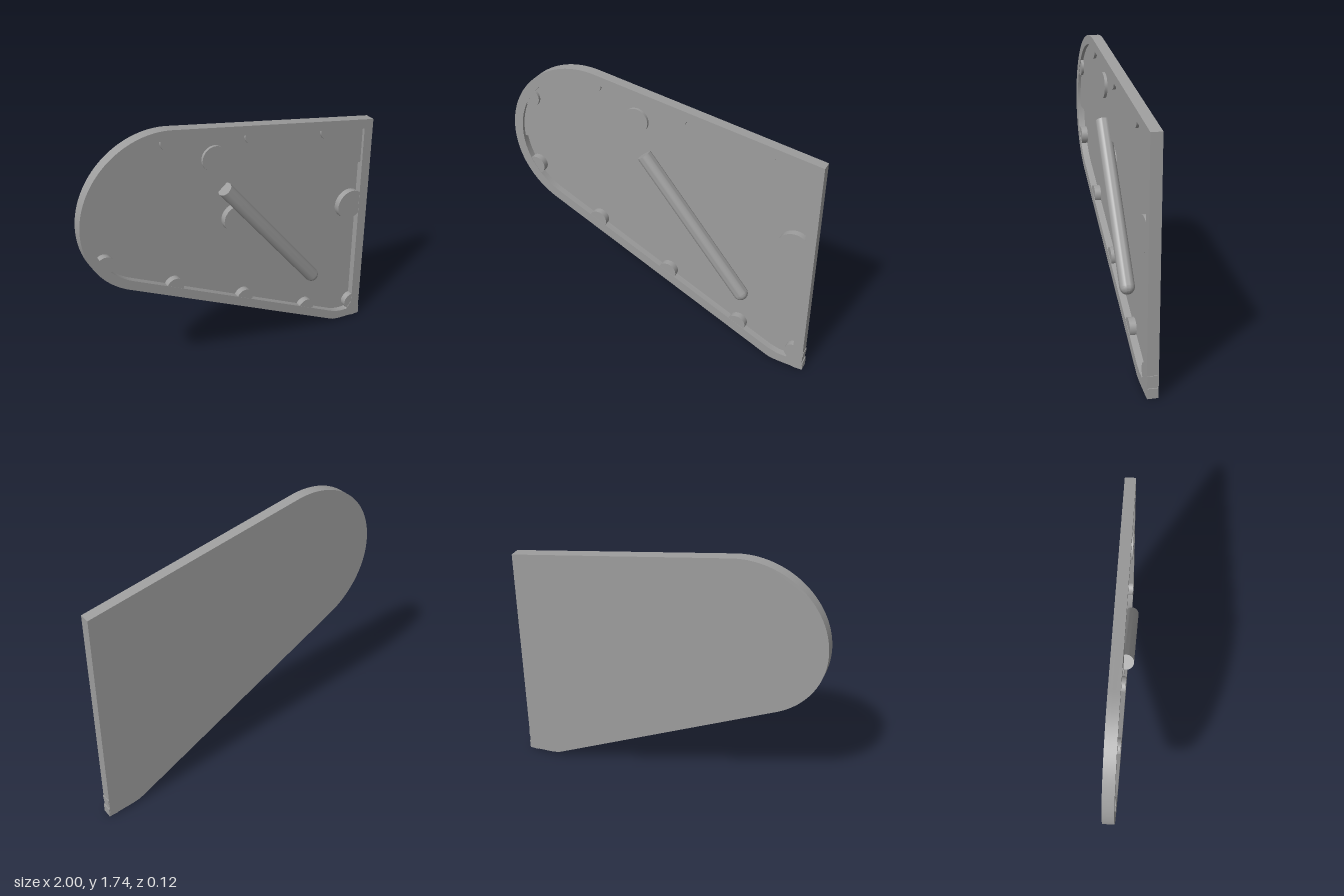
import * as THREE from 'three';
import { toCreasedNormals } from 'three/addons/utils/BufferGeometryUtils.js';

const BACK = -0.06, FLOOR = -0.035, STEP = -0.012, FRONT = 0.007;
const material = new THREE.MeshStandardMaterial({ color: 0x9d9d9d });
const rad = THREE.MathUtils.degToRad;

// Teardrop outline: a round nose on the left, straight edges and corner points on the right
function outline(radius, endAngle, corners, Type = THREE.Shape) {
  const shape = new Type();
  shape.absarc(-0.5, 1.245, radius, rad(80), rad(endAngle), false);
  corners.forEach(([x, y]) => shape.lineTo(x, y));
  shape.closePath();
  return shape;
}

function extrude(shape, z0, z1) {
  const geometry = new THREE.ExtrudeGeometry(shape, { depth: z1 - z0, bevelEnabled: false, curveSegments: 40 });
  geometry.translate(0, 0, z0);
  return toCreasedNormals(geometry, 0.5);
}

export function createModel() {
  const model = new THREE.Group();
  const add = (name, geometry, x = 0, y = 0, z = 0) => {
    const mesh = new THREE.Mesh(geometry, material);
    mesh.name = name;
    mesh.position.set(x, y, z);
    model.add(mesh);
    return mesh;
  };

  // Thin back panel and raised rim
  const outer = [[0.75, 0.038], [0.78, 0.024], [0.83, 0.015], [0.93, 0.007], [0.994, 0.004], [0.994, 1.485]];
  const inner = [[0.77, 0.095], [0.83, 0.075], [0.89, 0.07], [0.93, 0.12], [0.93, 1.435]];
  add('backPanel', extrude(outline(0.5, 242.7, outer), BACK, FLOOR));
  const rim = outline(0.5, 242.7, outer);
  rim.holes.push(outline(0.442, 242.7, inner, THREE.Path));
  add('rim', extrude(rim, FLOOR, FRONT));

  // Shallower upper part of the recess, ending in a straight step
  add('upperFloor', extrude(outline(0.45, 186.2, [[0.95, 1.196], [0.95, 1.44]]), FLOOR, STEP));

  // Small lugs at the lower right corner
  const thickness = FRONT - BACK - 0.004, middle = (FRONT + BACK) / 2;
  add('cornerLug', new THREE.BoxGeometry(0.06, 0.06, thickness), 0.97, 0.03, middle);
  add('edgeLug', new THREE.BoxGeometry(0.03, 0.03, thickness), 0.983, 0.12, middle);

  // Round bosses along the rim and pads on the panel, all nearly level with the rim
  const disc = (name, x, y, radius) => {
    const top = FRONT - 0.002, height = top - FLOOR + 0.005;
    const geometry = new THREE.CylinderGeometry(radius, radius, height, 32);
    geometry.rotateX(Math.PI / 2);
    add(name, geometry, x, y, top - height / 2);
  };
  [
    [-0.43, 1.672], [0.115, 1.58], [0.655, 1.483], [-0.865, 1.485], [-0.865, 1.005],
    [-0.43, 0.713], [0.06, 0.462], [0.545, 0.21], [0.93, 0.123],
  ].forEach(([x, y]) => disc('rimBoss', x, y, 0.058));
  disc('sideBoss', 0.865, 0.908, 0.1);
  disc('upperPad', -0.15, 1.497, 0.078);
  disc('middlePad', 0, 1.058, 0.087);

  // Diagonal round handle bar with a flat upper end and a domed lower end
  const radius = 0.045, dx = 0.655, dy = -0.815, length = Math.hypot(dx, dy);
  const profile = [new THREE.Vector2(0, 0), new THREE.Vector2(radius, 0)];
  for (let i = 0; i <= 10; i++) {
    const angle = (i / 10) * Math.PI / 2;
    profile.push(new THREE.Vector2(radius * Math.cos(angle), length + radius * Math.sin(angle)));
  }
  const barGeometry = toCreasedNormals(new THREE.LatheGeometry(profile, 32), 0.6);
  const handle = add('handleBar', barGeometry, -0.09, 1.29, 0.015);
  handle.rotation.z = Math.atan2(dy, dx) - Math.PI / 2;

  return model;
}
